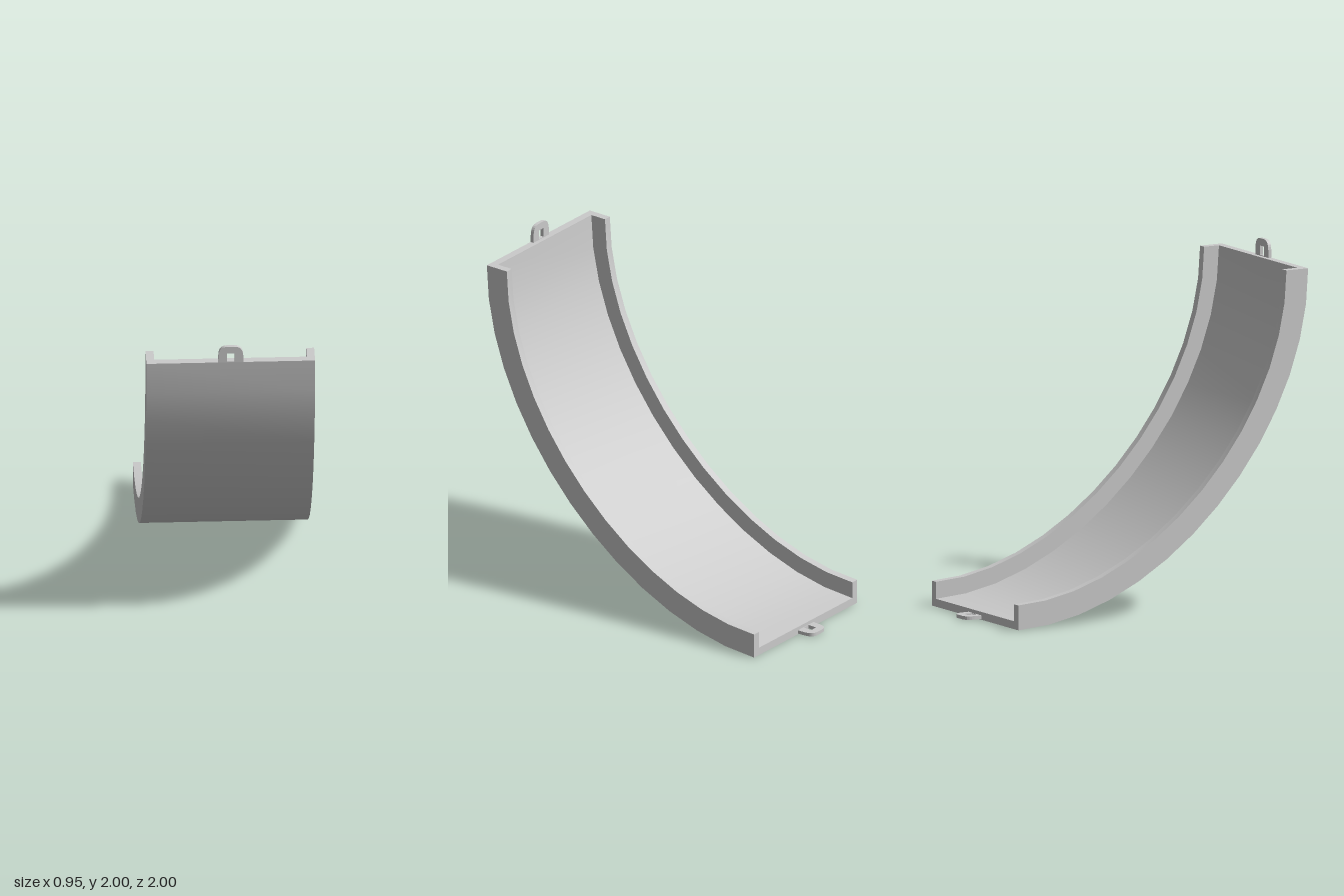
import * as THREE from 'three';

const material = new THREE.MeshStandardMaterial({ color: 0xcccccc });

// Sweep a section (x = across, y = towards the inside of the bend) along a curve in the yz plane
function sweep(section, curve, steps) {
  const positions = [], indices = [];
  const rings = [];
  for (let i = 0; i <= steps; i++) {
    const p = curve.getPoint(i / steps), t = curve.getTangent(i / steps);
    rings.push(section.map(s => [s.x, p.y - t.z * s.y, p.z + t.y * s.y]));
  }
  // One strip per side: smooth along the bend, sharp across it
  section.forEach((_, a) => {
    const b = (a + 1) % section.length;
    const base = positions.length / 3;
    rings.forEach(ring => positions.push(...ring[a], ...ring[b]));
    for (let i = 0; i < steps; i++) {
      const k = base + i * 2;
      indices.push(k, k + 2, k + 3, k, k + 3, k + 1);
    }
  });
  // End caps
  const faces = THREE.ShapeUtils.triangulateShape(section, []);
  [0, steps].forEach(end => {
    const base = positions.length / 3;
    rings[end].forEach(v => positions.push(...v));
    faces.forEach(([a, b, c]) =>
      indices.push(base + a, base + (end ? c : b), base + (end ? b : c)));
  });
  const geometry = new THREE.BufferGeometry();
  geometry.setAttribute('position', new THREE.Float32BufferAttribute(positions, 3));
  geometry.setIndex(indices);
  geometry.computeVertexNormals();
  return geometry;
}

// Rounded tab with a square hole
function loopGeometry() {
  const shape = new THREE.Shape();
  shape.moveTo(-0.072, 0);
  shape.lineTo(0.072, 0);
  shape.lineTo(0.07, 0.045);
  shape.bezierCurveTo(0.067, 0.08, 0.055, 0.1, 0.02, 0.1);
  shape.lineTo(-0.02, 0.1);
  shape.bezierCurveTo(-0.055, 0.1, -0.067, 0.08, -0.07, 0.045);
  const hole = new THREE.Path();
  hole.moveTo(-0.022, 0.004);
  hole.lineTo(-0.022, 0.058);
  hole.lineTo(0.022, 0.058);
  hole.lineTo(0.022, 0.004);
  hole.closePath();
  shape.holes.push(hole);
  return new THREE.ExtrudeGeometry(shape, { depth: 0.02, bevelEnabled: false, curveSegments: 6 });
}

export function createModel() {
  const group = new THREE.Group();
  const add = (name, geometry) => {
    const mesh = new THREE.Mesh(geometry, material);
    mesh.name = name;
    group.add(mesh);
    return mesh;
  };

  // Curved channel: floor with a wall along each side
  const w = 0.475, wall = 0.045, floor = 0.045, h = 0.142;
  const section = [
    [-w, 0], [w, 0], [w, h], [w - wall, h],
    [w - wall, floor], [-w + wall, floor], [-w + wall, h], [-w, h],
  ].map(([x, y]) => new THREE.Vector2(x, y));
  const bend = new THREE.CubicBezierCurve3(
    new THREE.Vector3(0, 1.9, 1), new THREE.Vector3(0, 0.95, 1),
    new THREE.Vector3(0, 0, 0.05), new THREE.Vector3(0, 0, -0.9));
  add('curvedTrack', sweep(section, bend, 14));

  // Connector loops at both ends
  const loop = loopGeometry();
  add('topLoop', loop).position.set(0, 1.9, 0.98);
  const bottom = add('bottomLoop', loop);
  bottom.rotation.x = -Math.PI / 2;
  bottom.position.set(0, 0.005, -0.9);

  return group;
}
